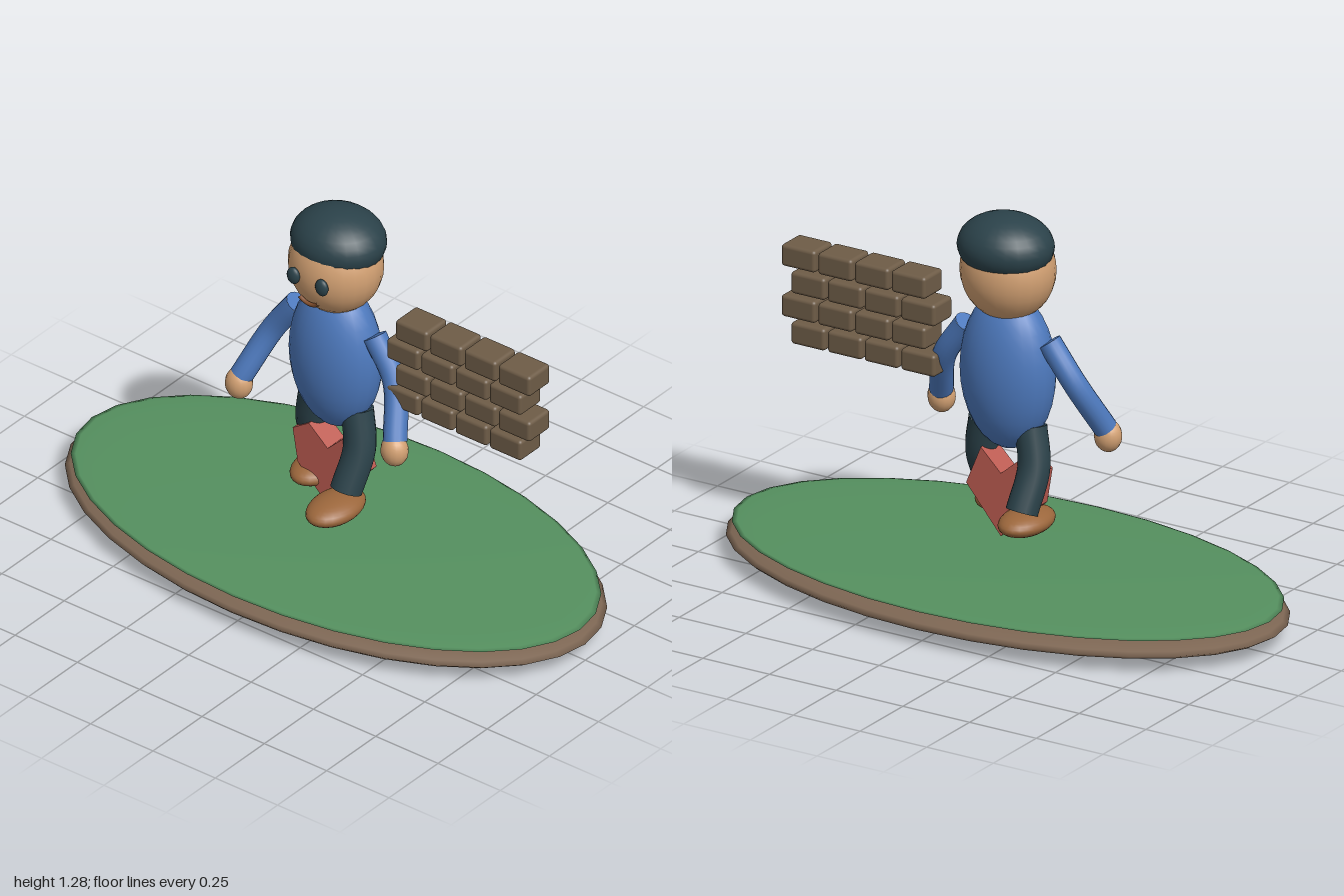
import * as THREE from 'three';
import { RoundedBoxGeometry } from 'three/addons/geometries/RoundedBoxGeometry.js';

const material = (color) => new THREE.MeshStandardMaterial({ color });
const earth = material(0x7d6653), grass = material(0x55905f), skin = material(0xd3a173);
const cloth = material(0x4d79bd), dark = material(0x2b424a), leather = material(0x9c673c);
const lip = material(0x83502f), red = material(0xbd5c52), brickMat = material(0x6e5c47);
red.flatShading = true;

export function createModel() {
  const model = new THREE.Group();

  const add = (name, geometry, mat, position = [0, 0, 0]) => {
    const mesh = new THREE.Mesh(geometry, mat);
    mesh.name = name;
    mesh.position.set(...position);
    model.add(mesh);
    return mesh;
  };

  // Ball stretched to three radii
  const ellipsoid = (name, mat, position, radii, segments = 24) =>
    add(name, new THREE.SphereGeometry(1, segments, 16).scale(...radii), mat, position);

  // Curved limb with flat closed ends
  const limb = (name, mat, points, radius) => {
    const curve = new THREE.CatmullRomCurve3(points.map((p) => new THREE.Vector3(...p)));
    add(name, new THREE.TubeGeometry(curve, 16, radius, 16), mat);
    for (const end of [0, 1]) {
      const cap = add(name + 'End', new THREE.CircleGeometry(radius, 16), mat);
      cap.position.copy(curve.getPoint(end));
      const outward = curve.getTangent(end).multiplyScalar(end ? 1 : -1);
      cap.quaternion.setFromUnitVectors(new THREE.Vector3(0, 0, 1), outward);
    }
  };

  // Oval ground
  ellipsoid('groundBase', earth, [0, 0.06, 0], [1, 0.06, 0.545], 32);
  ellipsoid('groundTop', grass, [0, 0.107, 0], [0.98, 0.018, 0.528], 32);

  // Body, head and cap
  ellipsoid('torso', cloth, [0, 0.755, 0], [0.165, 0.265, 0.12]);
  ellipsoid('head', skin, [0, 1.095, 0], [0.157, 0.165, 0.145]);
  ellipsoid('cap', dark, [0, 1.18, -0.013], [0.16, 0.105, 0.143]);

  // Smile
  const arc = 1.9;
  const mouth = new THREE.TorusGeometry(0.047, 0.007, 8, 16, arc).rotateZ(-Math.PI / 2 - arc / 2);
  add('mouth', mouth, lip, [0, 1.052, 0.143]).rotation.x = 0.2;

  // Paired parts; the left leg steps forward, the right one back
  for (const s of [1, -1]) {
    const side = s > 0 ? 'left' : 'right';
    ellipsoid(side + 'Eye', dark, [s * 0.057, 1.097, 0.145], [0.024, 0.03, 0.015], 16);
    limb(side + 'Arm', cloth,
      [[s * 0.155, 0.88, 0], [s * 0.245, 0.75, 0.012], [s * 0.308, 0.59, 0.09]], 0.039);
    ellipsoid(side + 'Hand', skin, [s * 0.312, 0.563, 0.098], [0.046, 0.054, 0.043], 16);
    limb(side + 'Leg', dark,
      [[s * 0.085, 0.58, 0], [s * 0.11, 0.45, s * 0.02], [s * 0.1, 0.315, s * 0.075]], 0.053);
    ellipsoid(side + 'Foot', leather, [s * 0.093, 0.271, 0.042 + s * 0.078], [0.078, 0.041, 0.119]);
  }

  // Faceted red block between the legs
  const outline = [[0, 0.2], [0.13, 0.355], [0.075, 0.487], [0, 0.413],
    [-0.075, 0.478], [-0.14, 0.435], [-0.12, 0.315]];
  const shape = new THREE.Shape(outline.map(([x, y]) => new THREE.Vector2(x, y)));
  add('redBlock', new THREE.ExtrudeGeometry(shape, { depth: 0.085, bevelEnabled: false }),
    red, [0, 0, -0.042]);

  // Wall of staggered bricks
  const brick = new RoundedBoxGeometry(0.128, 0.074, 0.108, 3, 0.012);
  for (let row = 0; row < 4; row++) {
    for (let i = 0; i < 4; i++) {
      const x = (row % 2 ? 0.342 : 0.306) + i * 0.1375;
      add('brick', brick, brickMat, [x, 0.724 + row * 0.0857, 0]);
    }
  }

  return model;
}
